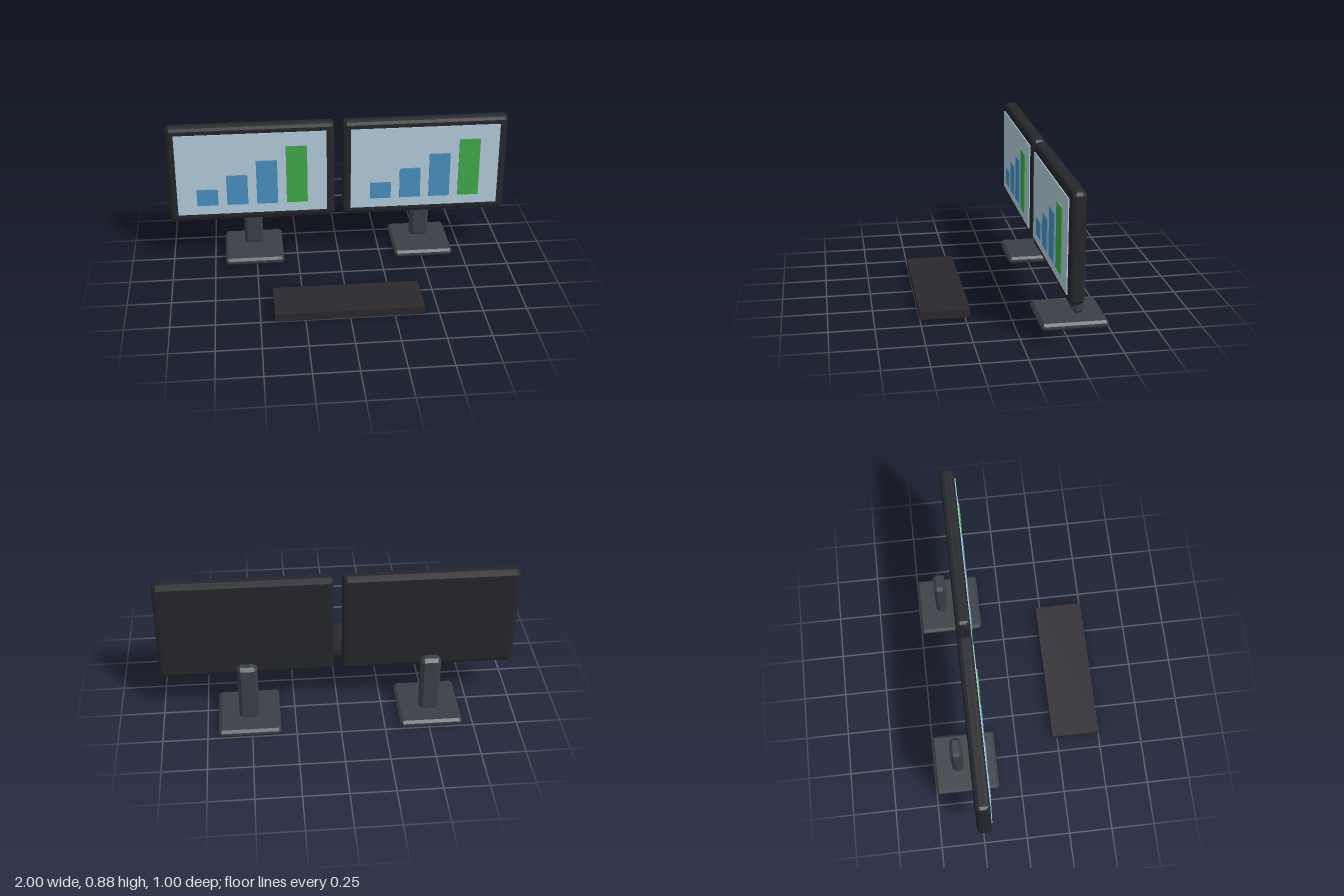
import * as THREE from 'three';
import { ConvexGeometry } from 'three/addons/geometries/ConvexGeometry.js';

const mat = (color) => new THREE.MeshStandardMaterial({ color });
const frameMat = mat(0x25262b);
const standMat = mat(0x3b3f46);
const keyboardMat = mat(0x2b282e);
const screenMat = mat(0xb4cbdb);
const blueMat = mat(0x4a90c0);
const greenMat = mat(0x40aa4a);

// Box with bevelled edges: hull of a coarse sphere octant at each corner
function bevelBox(w, h, d, r, steps) {
  const points = [];
  for (const sx of [-1, 1]) for (const sy of [-1, 1]) for (const sz of [-1, 1])
    for (let i = 0; i <= steps; i++) for (let j = 0; j <= steps - i; j++) {
      const n = new THREE.Vector3(i, j, steps - i - j).normalize().multiplyScalar(r);
      points.push(new THREE.Vector3(
        sx * (w / 2 - r + n.x), sy * (h / 2 - r + n.y), sz * (d / 2 - r + n.z)));
    }
  return new ConvexGeometry(points);
}

function add(parent, name, geometry, material, x, y, z) {
  const mesh = new THREE.Mesh(geometry, material);
  mesh.name = name;
  mesh.position.set(x, y, z);
  parent.add(mesh);
}

function createMonitor() {
  const g = new THREE.Group();
  g.name = 'monitor';

  // Casing and screen panel
  add(g, 'casing', bevelBox(0.976, 0.605, 0.082, 0.025, 2), frameMat, 0, 0.578, -0.243);
  add(g, 'screen', new THREE.BoxGeometry(0.882, 0.508, 0.02), screenMat, 0, 0.578, -0.206);

  // Rising bar chart on the screen, last bar green
  const bottom = 0.384;
  [0.103, 0.189, 0.276, 0.362].forEach((height, i) => {
    add(g, 'chartBar', new THREE.BoxGeometry(0.124, height, 0.008),
      i === 3 ? greenMat : blueMat, (i - 1.5) * 0.176, bottom + height / 2, -0.193);
  });

  // Post and foot plate
  add(g, 'standPost', bevelBox(0.112, 0.35, 0.068, 0.018, 1), standMat, 0, 0.215, -0.359);
  add(g, 'standBase', bevelBox(0.35, 0.043, 0.372, 0.014, 1), standMat, 0, 0.0215, -0.314);
  return g;
}

export function createModel() {
  const model = new THREE.Group();
  model.name = 'dualMonitorDesk';

  // Two identical monitors side by side
  for (const [name, x] of [['rightMonitor', -0.512], ['leftMonitor', 0.512]]) {
    const monitor = createMonitor();
    monitor.name = name;
    monitor.position.x = x;
    model.add(monitor);
  }

  // Keyboard slab in front
  add(model, 'keyboard', new THREE.BoxGeometry(0.84, 0.047, 0.279), keyboardMat, 0, 0.0235, 0.3605);
  return model;
}
